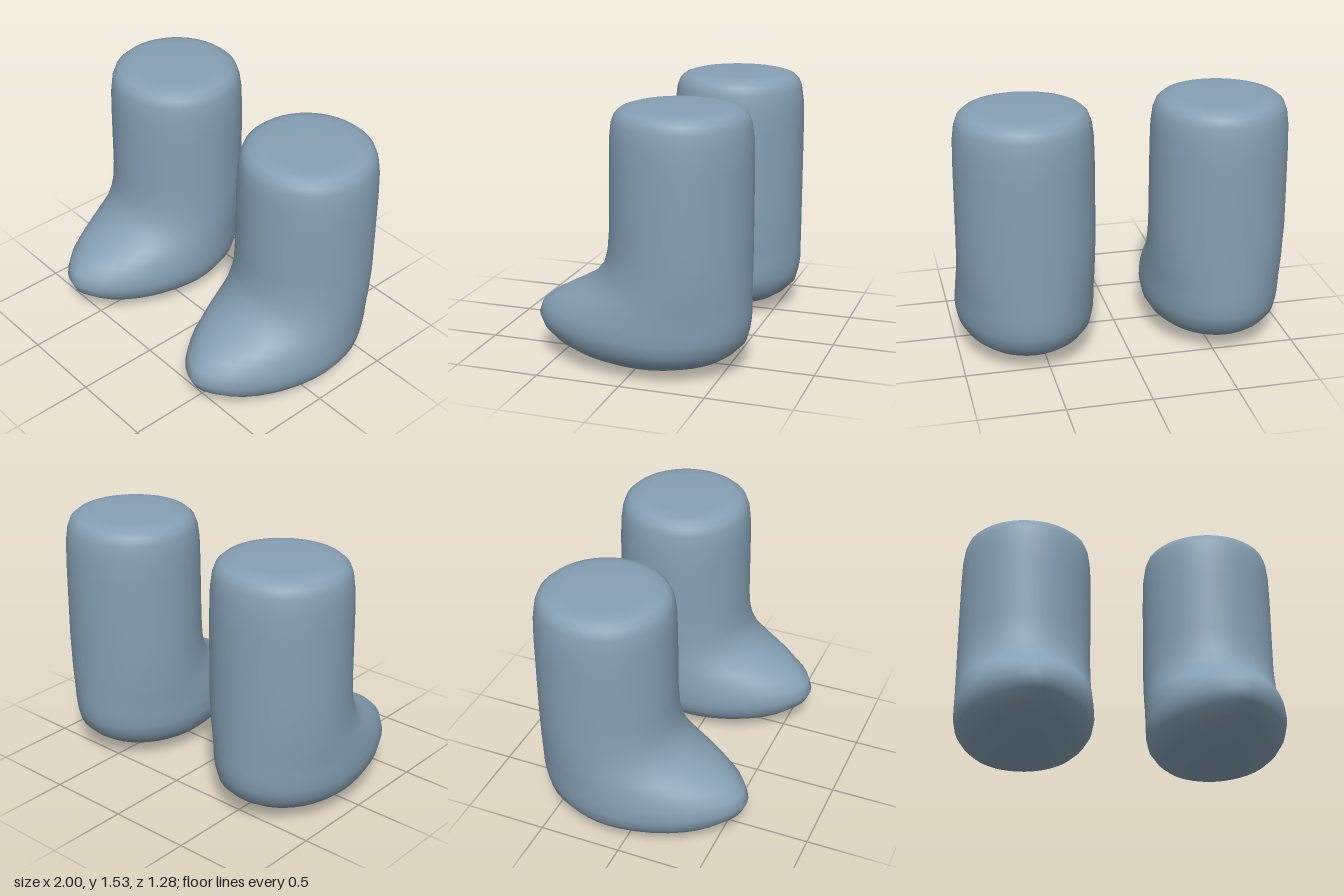
import * as THREE from 'three';

const SEGMENTS = 40;

// Horizontal cross-sections of one boot, from sole to top:
// [height, back z, front z, half width, z of widest point, pointiness of toe exponent]
const SECTIONS = [
  [0.0, -0.01, 0.01, 0.01, 0.0, 2],
  [0.008, -0.16, 0.11, 0.1, -0.02, 2],
  [0.022, -0.27, 0.21, 0.18, -0.04, 2],
  [0.045, -0.39, 0.33, 0.25, -0.06, 1.9],
  [0.08, -0.49, 0.45, 0.32, -0.08, 1.85],
  [0.12, -0.55, 0.54, 0.365, -0.08, 1.8],
  [0.18, -0.61, 0.615, 0.403, -0.08, 1.75],
  [0.25, -0.63, 0.645, 0.417, -0.08, 1.75],
  [0.32, -0.64, 0.62, 0.416, -0.1, 1.75],
  [0.38, -0.64, 0.55, 0.414, -0.12, 1.75],
  [0.42, -0.64, 0.48, 0.413, -0.14, 1.8],
  [0.465, -0.64, 0.39, 0.412, -0.16, 1.85],
  [0.525, -0.64, 0.285, 0.411, -0.19, 1.9],
  [0.61, -0.64, 0.215, 0.41, -0.21, 2],
  [0.7, -0.64, 0.19, 0.41, -0.23, 2],
  [0.83, -0.64, 0.178, 0.41, -0.23, 2],
  [1.2, -0.64, 0.175, 0.408, -0.23, 2],
  [1.35, -0.635, 0.172, 0.404, -0.23, 2],
  [1.44, -0.622, 0.162, 0.392, -0.23, 2],
  [1.485, -0.605, 0.145, 0.375, -0.23, 2],
  [1.512, -0.575, 0.115, 0.345, -0.23, 2],
  [1.526, -0.53, 0.07, 0.3, -0.23, 2],
  [1.53, -0.47, 0.01, 0.24, -0.23, 2],
  [1.53, -0.24, -0.22, 0.01, -0.23, 2],
];

function bootGeometry() {
  const positions = [];
  const indices = [];
  for (const [y, back, front, half, mid, exponent] of SECTIONS) {
    for (let j = 0; j < SEGMENTS; j++) {
      const a = (j / SEGMENTS) * Math.PI * 2;
      const s = Math.sin(a);
      const c = Math.cos(a);
      // Round heel half, tapered toe half
      const power = c > 0 ? 2 / exponent : 1;
      const x = Math.sign(s) * half * Math.pow(Math.abs(s), power);
      const z = c > 0 ? mid + (front - mid) * Math.pow(c, power) : mid + (mid - back) * c;
      positions.push(x, y, z);
    }
  }
  for (let i = 0; i < SECTIONS.length - 1; i++) {
    for (let j = 0; j < SEGMENTS; j++) {
      const a = i * SEGMENTS + j;
      const b = i * SEGMENTS + ((j + 1) % SEGMENTS);
      indices.push(a, b, a + SEGMENTS, b, b + SEGMENTS, a + SEGMENTS);
    }
  }
  // Close the sole and the top
  const last = (SECTIONS.length - 1) * SEGMENTS;
  for (let j = 1; j < SEGMENTS - 1; j++) {
    indices.push(0, j + 1, j, last, last + j, last + j + 1);
  }
  const geometry = new THREE.BufferGeometry();
  geometry.setAttribute('position', new THREE.Float32BufferAttribute(positions, 3));
  geometry.setIndex(indices);
  geometry.computeVertexNormals();
  return geometry;
}

export function createModel() {
  const model = new THREE.Group();
  model.name = 'boots';
  const material = new THREE.MeshStandardMaterial({ color: 0x86a0b4 });
  material.name = 'blue grey';
  const geometry = bootGeometry();
  for (const [name, x] of [['leftBoot', 0.582], ['rightBoot', -0.582]]) {
    const boot = new THREE.Mesh(geometry, material);
    boot.name = name;
    boot.position.x = x;
    model.add(boot);
  }
  return model;
}
